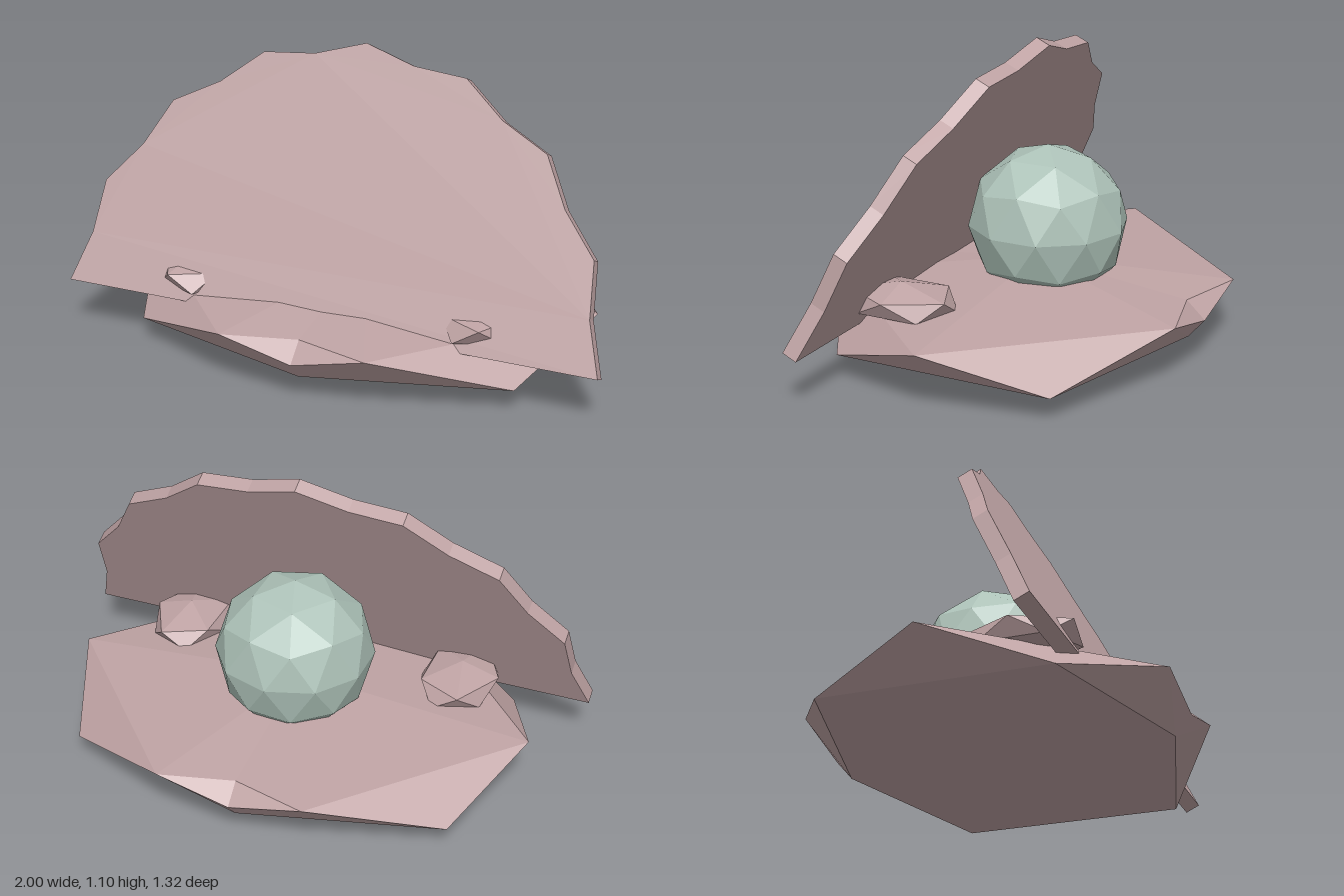
import * as THREE from 'three';

const shellPink = new THREE.MeshStandardMaterial({ name: 'shellPink', color: 0xbfa3a4, flatShading: true });
const pearlGreen = new THREE.MeshStandardMaterial({ name: 'pearlGreen', color: 0xadc2b8, flatShading: true });

function part(name, geometry, material) {
  const mesh = new THREE.Mesh(geometry, material);
  mesh.name = name;
  return mesh;
}

// Faceted lower valve: one quarter mirrored into all four
function lowerShellGeometry() {
  const p = {
    top: [0, 0.295, 0], notch: [0, 0.225, 0.59], peak: [0.27, 0.225, 0.66],
    lip: [0, 0.16, 0.66], low: [0, 0.09, 0.6], corner: [0.71, 0.09, 0.41],
    side: [0.875, 0.225, 0], mid: [0.71, 0.09, 0], base: [0, 0, 0],
  };
  const faces = [
    ['top', 'notch', 'peak'], ['top', 'peak', 'side'], ['notch', 'lip', 'peak'],
    ['peak', 'corner', 'side'], ['peak', 'lip', 'low'], ['peak', 'low', 'corner'],
    ['side', 'corner', 'mid'], ['base', 'mid', 'corner'], ['base', 'corner', 'low'],
  ];
  const positions = [];
  for (const sx of [1, -1]) for (const sz of [1, -1]) {
    for (const face of faces) {
      const order = sx * sz > 0 ? face : [...face].reverse();
      for (const key of order) positions.push(p[key][0] * sx, p[key][1], p[key][2] * sz);
    }
  }
  const g = new THREE.BufferGeometry();
  g.setAttribute('position', new THREE.Float32BufferAttribute(positions, 3));
  g.computeVertexNormals();
  return g;
}

// Half-round slab with a scalloped edge
function upperShellGeometry() {
  const steps = 16, thickness = 0.056;
  const points = [];
  for (let i = 0; i <= steps; i++) {
    const a = (i / steps) * Math.PI;
    const r = i % 2 ? 0.96 : 1;
    points.push(new THREE.Vector2(Math.cos(a) * r, Math.sin(a) * r));
  }
  const g = new THREE.ExtrudeGeometry(new THREE.Shape(points), { depth: thickness, bevelEnabled: false });
  return g.translate(0, 0, -thickness);
}

export function createModel() {
  const model = new THREE.Group();
  model.name = 'clamWithPearl';

  model.add(part('lowerShell', lowerShellGeometry(), shellPink));

  // Upper valve leaning back over the pearl
  const lid = part('upperShell', upperShellGeometry(), shellPink);
  lid.position.set(0, 0.2, 0.428);
  lid.rotation.x = -0.44;
  model.add(lid);

  // Pearl with a vertex pointing straight up
  const pearl = part('pearl', new THREE.IcosahedronGeometry(0.29, 1).rotateZ(0.5536), pearlGreen);
  pearl.position.set(0, 0.432, -0.045);
  model.add(pearl);

  // Hinge knobs, pushed through the foot of the lid
  for (const side of [1, -1]) {
    const g = new THREE.IcosahedronGeometry(1, 0).rotateZ(-side * 0.6).scale(0.16, 0.07, 0.225);
    const knob = part(side > 0 ? 'leftHingeKnob' : 'rightHingeKnob', g, shellPink);
    knob.position.set(side * 0.54, 0.265, 0.243);
    model.add(knob);
  }
  return model;
}
